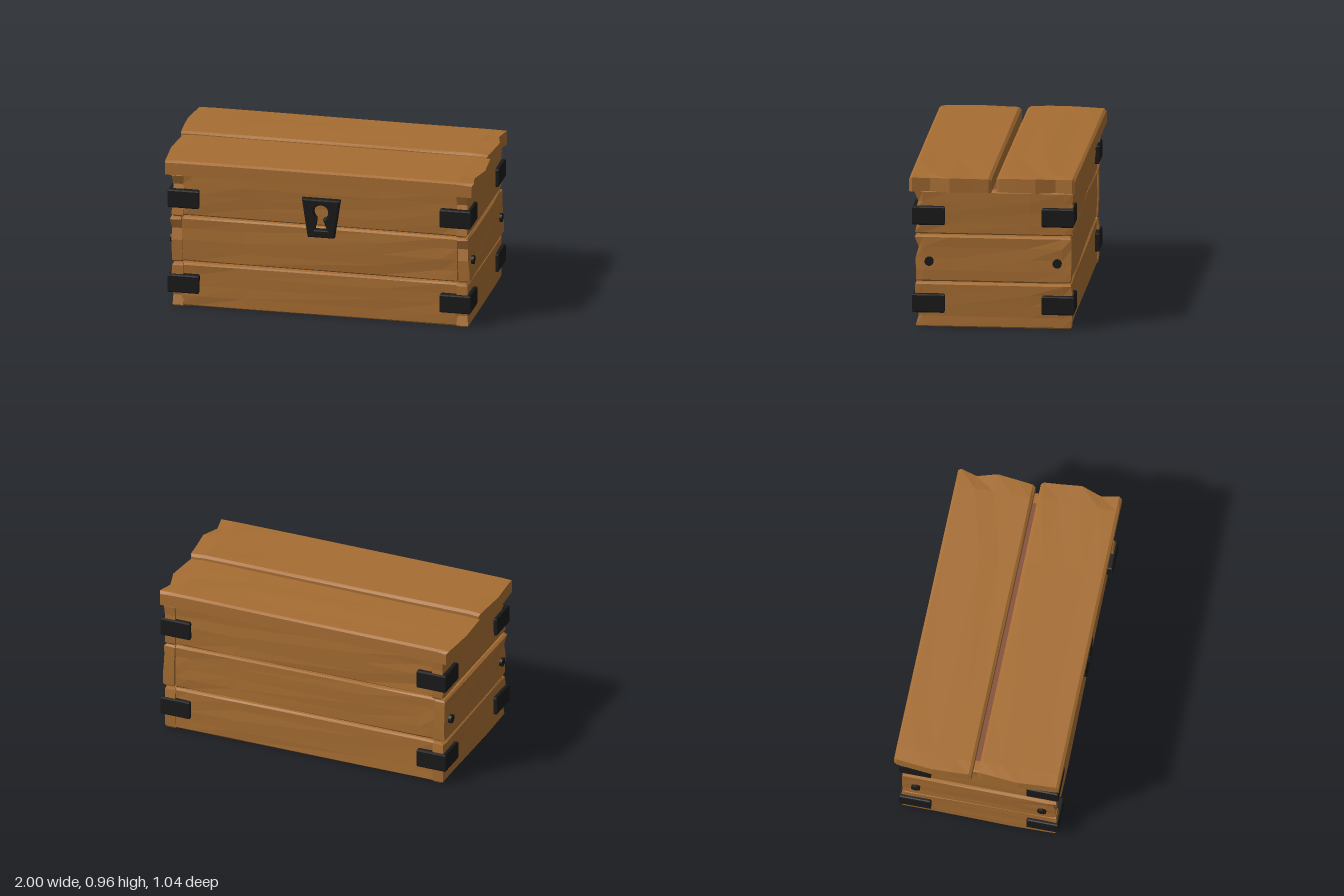
import * as THREE from 'three';

const wood = new THREE.MeshStandardMaterial({ color: 0xa66d32, flatShading: true });
const iron = new THREE.MeshStandardMaterial({ color: 0x1a1a1a, flatShading: true });
const dark = new THREE.MeshStandardMaterial({ color: 0x84503a, flatShading: true });

const STATIONS = [-1, -0.9, -0.55, 0.45, 0.88, 1];
const ROWS = [-1, -0.93, -0.5, 0, 0.5, 0.93, 1];
const hash = (n) => { const s = Math.sin(n * 12.9898) * 43758.5453; return s - Math.floor(s); };

// Rough plank: x along the length, y across, z through the thickness.
// left/right give the end position for each row across the plank.
function plank(name, left, right, width, thick, seed, wear = 0.008) {
  const geo = new THREE.BoxGeometry(1, 1, 1, 5, 6, 1);
  const p = geo.attributes.position;
  for (let k = 0; k < p.count; k++) {
    const i = Math.round((p.getX(k) + 0.5) * 5);
    const j = Math.round((p.getY(k) + 0.5) * 6);
    const outer = p.getZ(k) > 0;
    const u = STATIONS[i], v = ROWS[j];
    const ends = u < 0 ? left : right;
    const atEnd = Math.abs(u) === 1;
    const x = u * (atEnd ? ends[j] : Math.max(...ends));
    let z = p.getZ(k) * thick;
    if (outer) {
      z -= wear * hash(seed * 31 + i * 7 + j);
      if (atEnd) z -= 0.25 * (Math.max(...ends) - ends[j]);
      if (Math.abs(v) === 1) z -= 0.012;
    }
    p.setXYZ(k, x, v * width / 2, z);
  }
  const mesh = new THREE.Mesh(geo, wood);
  mesh.name = name;
  return mesh;
}

// L-shaped iron strap around one corner
function cornerBracket(sx, sz, y) {
  const pts = [[0.945, 0.49], [0.945, 0.31], [0.91, 0.31], [0.91, 0.45], [0.77, 0.45], [0.77, 0.49]];
  const shape = new THREE.Shape(pts.map(([x, z]) => new THREE.Vector2(sx * x, -sz * z)));
  const geo = new THREE.ExtrudeGeometry(shape, {
    depth: 0.1, bevelEnabled: true, bevelSize: 0.01, bevelThickness: 0.01, bevelSegments: 2,
  });
  geo.rotateX(-Math.PI / 2);
  const mesh = new THREE.Mesh(geo, iron);
  mesh.name = 'cornerBracket';
  mesh.position.set(0.003, y - 0.05, 0.004);
  return mesh;
}

// Tapered plate with a keyhole cut through it
function lockPlate() {
  const shape = new THREE.Shape([[-0.11, 0.115], [-0.075, -0.115], [0.075, -0.115], [0.11, 0.115]]
    .map(([x, y]) => new THREE.Vector2(x, y)));
  const hole = new THREE.Path();
  hole.moveTo(-0.05, -0.083);
  hole.lineTo(-0.025, 0.0);
  hole.absarc(0, 0.04, 0.056, -2.03, -1.11, true);
  hole.lineTo(0.05, -0.083);
  hole.closePath();
  shape.holes.push(hole);
  const geo = new THREE.ExtrudeGeometry(shape, {
    depth: 0.03, bevelEnabled: true, bevelSize: 0.01, bevelThickness: 0.008, bevelSegments: 2, curveSegments: 20,
  });
  const mesh = new THREE.Mesh(geo, iron);
  mesh.name = 'lockPlate';
  mesh.position.set(0.015, 0.65, 0.472);
  return mesh;
}

export function createModel() {
  const chest = new THREE.Group();
  chest.name = 'chest';

  // Dark inner box that closes the gaps and forms the floor
  const core = new THREE.Mesh(new THREE.BoxGeometry(1.73, 0.85, 0.81), dark);
  core.name = 'innerBox';
  core.position.y = 0.433;
  chest.add(core);

  // Wall planks, three rows: worn ends of the side planks at front and back
  const rows = [
    { y: 0.141, h: 0.278, out: 0.9, tilt: 0, lean: 0,
      front: [0.475, 0.485, 0.466, 0.48, 0.49, 0.487, 0.482],
      back: [0.472, 0.478, 0.482, 0.486, 0.485, 0.476, 0.472] },
    { y: 0.435, h: 0.288, out: 0.908, tilt: -0.003, lean: 0.03,
      front: [0.472, 0.48, 0.482, 0.485, 0.466, 0.49, 0.485],
      back: [0.472, 0.475, 0.478, 0.48, 0.48, 0.478, 0.47] },
    { y: 0.727, h: 0.276, out: 0.9, tilt: -0.003, lean: 0,
      front: [0.482, 0.488, 0.476, 0.49, 0.468, 0.492, 0.485],
      back: [0.478, 0.484, 0.488, 0.49, 0.485, 0.49, 0.482] },
  ];
  const square = ROWS.map(() => 0.868);
  rows.forEach((r, n) => {
    for (const s of [1, -1]) {
      const wall = plank(s > 0 ? 'frontPlank' : 'backPlank', square, square, r.h, 0.075, n * 2 + s + 3);
      wall.position.set(0, r.y, s * 0.437);
      wall.rotation.set(0, s > 0 ? 0 : Math.PI, s * r.tilt);
      chest.add(wall);

      const [a, b] = s > 0 ? [r.front, r.back] : [r.back, r.front];
      const side = plank(s > 0 ? 'leftSidePlank' : 'rightSidePlank', a, b, r.h, 0.075, n * 2 + s + 13);
      side.rotation.y = s * Math.PI / 2;
      const pivot = new THREE.Group();
      pivot.name = 'sidePlank';
      pivot.position.set(s * r.out + 0.004, r.y, 0);
      pivot.rotation.z = r.lean;
      pivot.add(side);
      chest.add(pivot);
    }
  });

  // Lid: two overhanging boards, end values listed from front to back
  const lid = new THREE.Group();
  lid.name = 'lid';
  const boards = [
    ['frontLidBoard', 0.262, 0.508, -0.006,
      [0.965, 0.968, 0.975, 0.985, 0.975, 0.967, 0.96],
      [0.972, 0.982, 0.96, 1.0, 0.987, 0.978, 0.968]],
    ['backLidBoard', -0.269, 0.488, -0.01,
      [0.985, 0.988, 0.995, 1.0, 0.99, 0.98, 0.97],
      [0.947, 0.955, 0.965, 0.975, 0.94, 0.965, 0.957]],
  ];
  boards.forEach(([name, z, w, yaw, left, right], n) => {
    const board = plank(name, left, right, w, 0.094, 21 + n, 0.004);
    board.rotation.x = -Math.PI / 2;
    const pivot = new THREE.Group();
    pivot.name = name + 'Pivot';
    pivot.position.set(0, 0.912, z);
    pivot.rotation.y = yaw;
    pivot.add(board);
    lid.add(pivot);
  });
  chest.add(lid);

  // Iron fittings
  for (const sx of [1, -1]) {
    for (const sz of [1, -1]) {
      for (const y of [0.154, 0.708]) chest.add(cornerBracket(sx, sz, y));
      const nail = new THREE.Mesh(new THREE.CylinderGeometry(0.028, 0.028, 0.05, 20), iron);
      nail.name = 'nail';
      nail.rotation.z = Math.PI / 2;
      nail.position.set(sx * 0.933 + 0.003, 0.42, sz * 0.396 + 0.004);
      chest.add(nail);
    }
  }
  chest.add(lockPlate());
  return chest;
}
